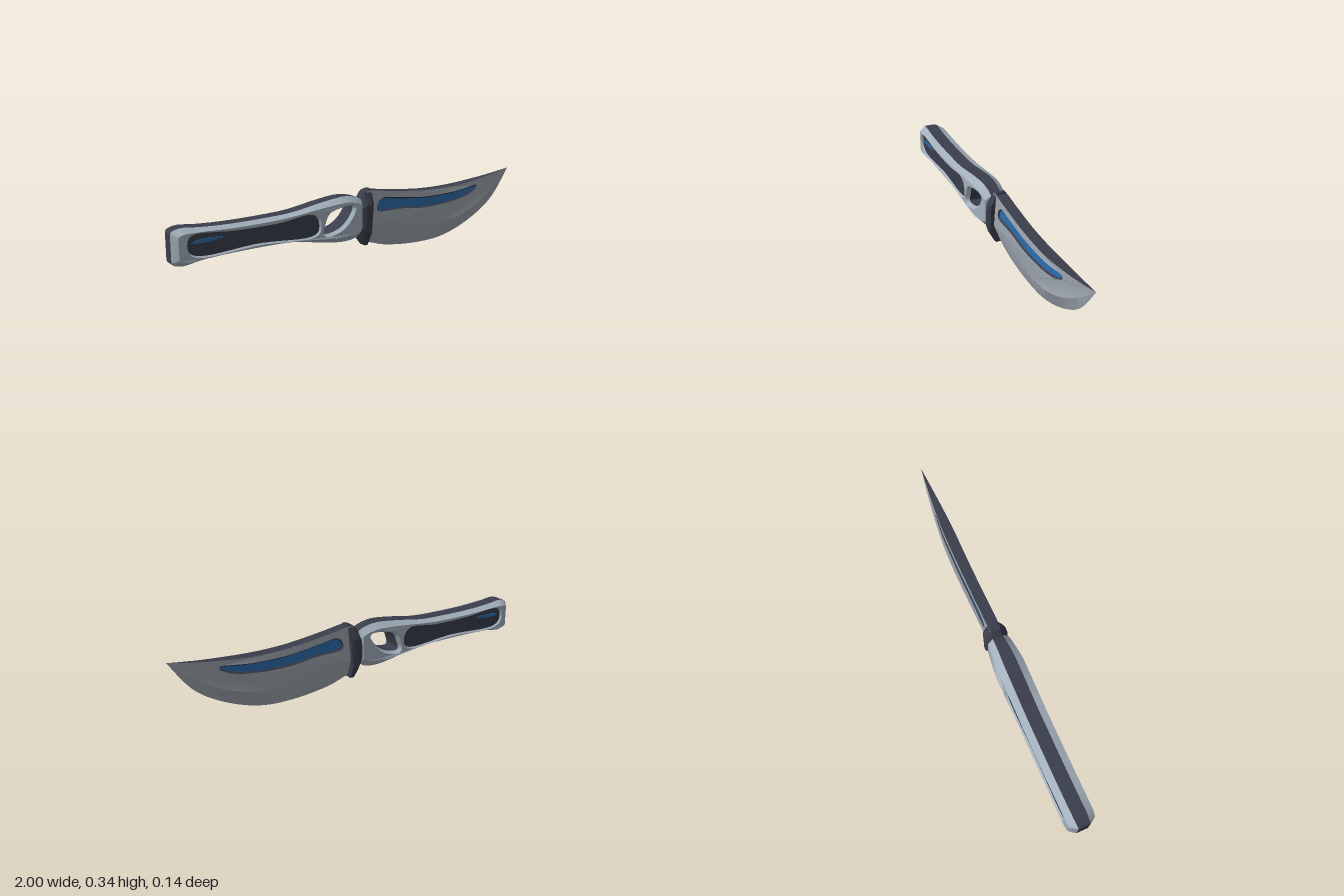
import * as THREE from 'three';
import { mergeGeometries, toCreasedNormals } from 'three/addons/utils/BufferGeometryUtils.js';

const V2 = (p) => new THREE.Vector2(p[0], p[1]);
const spline = (pts, n) => new THREE.SplineCurve(pts.map(V2)).getPoints(n);

// Smooth closed loop through a few points, counter-clockwise
function closedLoop(pts, n) {
  const c = new THREE.CatmullRomCurve3(pts.map((p) => new THREE.Vector3(p[0], p[1], 0)), true, 'centripetal');
  const out = c.getPoints(n).slice(0, n).map((p) => new THREE.Vector2(p.x, p.y));
  return THREE.ShapeUtils.isClockWise(out) ? out.reverse() : out;
}

// Grow a counter-clockwise loop outwards
const grow = (loop, d) => loop.map((p, i) => {
  const a = loop.at(i - 1), b = loop[(i + 1) % loop.length];
  const t = b.clone().sub(a).normalize();
  return new THREE.Vector2(p.x + t.y * d, p.y - t.x * d);
});

// Lift a flat loop to 3D with a depth rule
const lift = (loop, z) => loop.map((p) => new THREE.Vector3(p.x, p.y, z(p.x, p.y)));

// Strip of faces between two matching loops
function band(a, b, closed = true) {
  const pos = [];
  for (let i = 0; i < a.length - (closed ? 0 : 1); i++) {
    const j = (i + 1) % a.length;
    for (const p of [a[i], a[j], b[j], a[i], b[j], b[i]]) pos.push(p.x, p.y, p.z);
  }
  const g = new THREE.BufferGeometry();
  g.setAttribute('position', new THREE.Float32BufferAttribute(pos, 3));
  return g;
}

// Flat region with holes, lifted by a depth rule
function sheet(outline, holes, z) {
  const s = new THREE.Shape(outline);
  holes.forEach((h) => s.holes.push(new THREE.Path(h)));
  const g = new THREE.ShapeGeometry(s).toNonIndexed();
  g.deleteAttribute('uv');
  g.deleteAttribute('normal');
  const p = g.attributes.position;
  for (let i = 0; i < p.count; i++) p.setZ(i, z(p.getX(i), p.getY(i)));
  return g;
}

// Mirror front to back, keeping faces outward
function mirrored(g) {
  const m = g.clone(), p = m.attributes.position;
  for (let i = 0; i < p.count; i += 3) {
    const t = [0, 2, 1].map((k) => [p.getX(i + k), p.getY(i + k), -p.getZ(i + k)]);
    t.forEach((v, k) => p.setXYZ(i + k, ...v));
  }
  return m;
}

export function createModel() {
  const model = new THREE.Group();
  const mat = (name, color) => {
    const m = new THREE.MeshStandardMaterial({ color });
    m.name = name;
    return m;
  };
  const shell = mat('pale grey handle', 0xa3b0bc);
  const steel = mat('steel', 0x9da5ae);
  const dark = mat('dark slate', 0x3a3d4b);
  const blue = mat('blue', 0x2a6cab);

  const add = (name, material, geos, both = true) => {
    const all = both ? geos.flatMap((g) => [g, mirrored(g)]) : geos;
    const mesh = new THREE.Mesh(toCreasedNormals(mergeGeometries(all), 0.45), material);
    mesh.name = name;
    model.add(mesh);
  };

  // ---- Handle: bevelled outline with a finger hole and recessed grip panels
  const N = 44;
  const ring = (bottom, top) => [...spline(bottom, N), ...spline(top, N).reverse()];
  const outer = ring(
    [[-1, .115], [-.985, .1], [-.94, .095], [-.85, .11], [-.7, .12], [-.5, .125], [-.38, .122], [-.25, .1], [-.12, .083], [-.04, .09], [0, .115]],
    [[-1, .25], [-.985, .262], [-.94, .27], [-.85, .262], [-.7, .258], [-.5, .263], [-.38, .272], [-.25, .295], [-.12, .312], [-.04, .303], [0, .285]]);
  const inner = ring(
    [[-.975, .13], [-.965, .122], [-.935, .119], [-.85, .125], [-.7, .134], [-.5, .138], [-.38, .135], [-.25, .122], [-.12, .115], [-.05, .122], [-.01, .14]],
    [[-.975, .235], [-.965, .242], [-.935, .248], [-.85, .248], [-.7, .245], [-.5, .25], [-.38, .26], [-.25, .276], [-.12, .287], [-.05, .277], [-.01, .26]]);
  const hole = closedLoop([[-.23, .145], [-.222, .19], [-.2, .235], [-.14, .258], [-.062, .255], [-.09, .2], [-.15, .156]], 48);
  const panel = closedLoop([[-.93, .215], [-.91, .236], [-.69, .229], [-.47, .233], [-.3, .25], [-.267, .22], [-.267, .165], [-.3, .144], [-.58, .152], [-.89, .139], [-.93, .165]], 72);
  const holeRim = grow(hole, .012), panelRim = grow(panel, .007);

  // Handle narrows towards the guard and slightly at the butt
  const slim = (x) => 1 - .22 * THREE.MathUtils.clamp((x + .15) / .15, 0, 1) - .1 * THREE.MathUtils.clamp((-.94 - x) / .06, 0, 1);
  const depth = (z) => (x) => z * slim(x);

  add('handleShell', shell, [
    band(lift(outer, depth(.034)), lift(inner, depth(.07))),
    sheet(inner, [holeRim, panelRim], depth(.07)),
    band(lift(holeRim, depth(.07)), lift(hole, depth(.048))),
    band(lift(panelRim, depth(.07)), lift(panel, depth(.06))),
  ]);
  add('handleSpine', dark, [band(lift(outer, depth(-.034)), lift(outer, depth(.034)))], false);
  add('fingerHoleWall', dark, [band(lift(hole, depth(.048)), lift(hole, depth(-.048)))], false);
  add('gripPanels', dark, [sheet(panel, [], depth(.06))]);

  // Slim blue inlays on the grip
  const inlay = closedLoop([[-.915, .2], [-.88, .213], [-.76, .211], [-.8, .201], [-.88, .196]], 24);
  add('gripInlays', blue, [
    sheet(inlay, [], depth(.063)),
    band(lift(inlay, depth(.06)), lift(inlay, depth(.063))),
  ]);

  // ---- Guard: slanted octagonal collar
  const collar = ([x, low, high, half, flat, shoulder]) => {
    const a = low + shoulder, b = high - shoulder;
    return [[low, flat], [low, -flat], [a, -half], [b, -half], [high, -flat], [high, flat], [b, half], [a, half]]
      .map(([y, z]) => new THREE.Vector3(x + (y - .185) * .07, y, z));
  };
  const rings = [
    [-.012, .115, .275, .048, .022, .04],
    [.012, .07, .315, .06, .024, .06],
    [.036, .04, .328, .06, .022, .07],
    [.055, .04, .33, .052, .02, .07],
  ].map(collar);
  const cap = (r) => r.map(() => r.reduce((s, p) => s.add(p), new THREE.Vector3()).divideScalar(r.length));
  const loops = [cap(rings[0]), ...rings, cap(rings[3])];
  add('guard', dark, loops.slice(1).map((r, i) => band(loops[i], r)), false);

  // ---- Blade: flat spine, upper face with a fuller, lower face ground to an edge
  const top = spline([[.03, .322], [.08, .32], [.2, .304], [.4, .286], [.6, .288], [.8, .309], [.92, .328], [1, .343]], 48);
  const ridge = spline([[.03, .145], [.1, .143], [.2, .135], [.38, .111], [.55, .107], [.75, .163], [.9, .255], [1, .343]], 48);
  const edge = spline([[.03, .06], [.08, .043], [.18, .017], [.36, .002], [.54, .015], [.72, .078], [.88, .182], [1, .343]], 48);
  const yAt = (line, x) => {
    const i = Math.max(1, line.findIndex((p) => p.x >= x));
    const a = line[i - 1], b = line[i];
    return a.y + (b.y - a.y) * (x - a.x) / (b.x - a.x);
  };
  const taper = (x) => 1 - Math.pow(THREE.MathUtils.clamp((x - .6) / .4, 0, 1), 1.5);
  const bladeZ = (x, y) => {
    const r = yAt(ridge, x), t = yAt(top, x);
    const k = THREE.MathUtils.clamp((y - r) / Math.max(t - r, 1e-4), 0, 1);
    return taper(x) * (.035 - .007 * k);
  };
  const fuller = closedLoop([[.1, .222], [.108, .252], [.135, .27], [.2, .264], [.4, .244], [.6, .25], [.755, .268], [.7, .237], [.55, .208], [.38, .201], [.25, .214], [.12, .215]], 72);
  const fullerRim = grow(fuller, .007);
  const floorZ = (x, y) => bladeZ(x, y) - .008;
  const back = [...top].reverse();

  add('bladeFaces', steel, [
    sheet([...ridge, ...back.slice(1)], [fullerRim], bladeZ),
    band(lift(edge, () => 0), lift(ridge, bladeZ), false),
  ]);
  add('bladeSpine', dark, [band(lift(back, (x, y) => -bladeZ(x, y)), lift(back, bladeZ), false)], false);
  add('fullerWalls', dark, [band(lift(fullerRim, bladeZ), lift(fuller, floorZ))]);
  add('fullerInlays', blue, [sheet(fuller, [], floorZ)]);

  return model;
}
